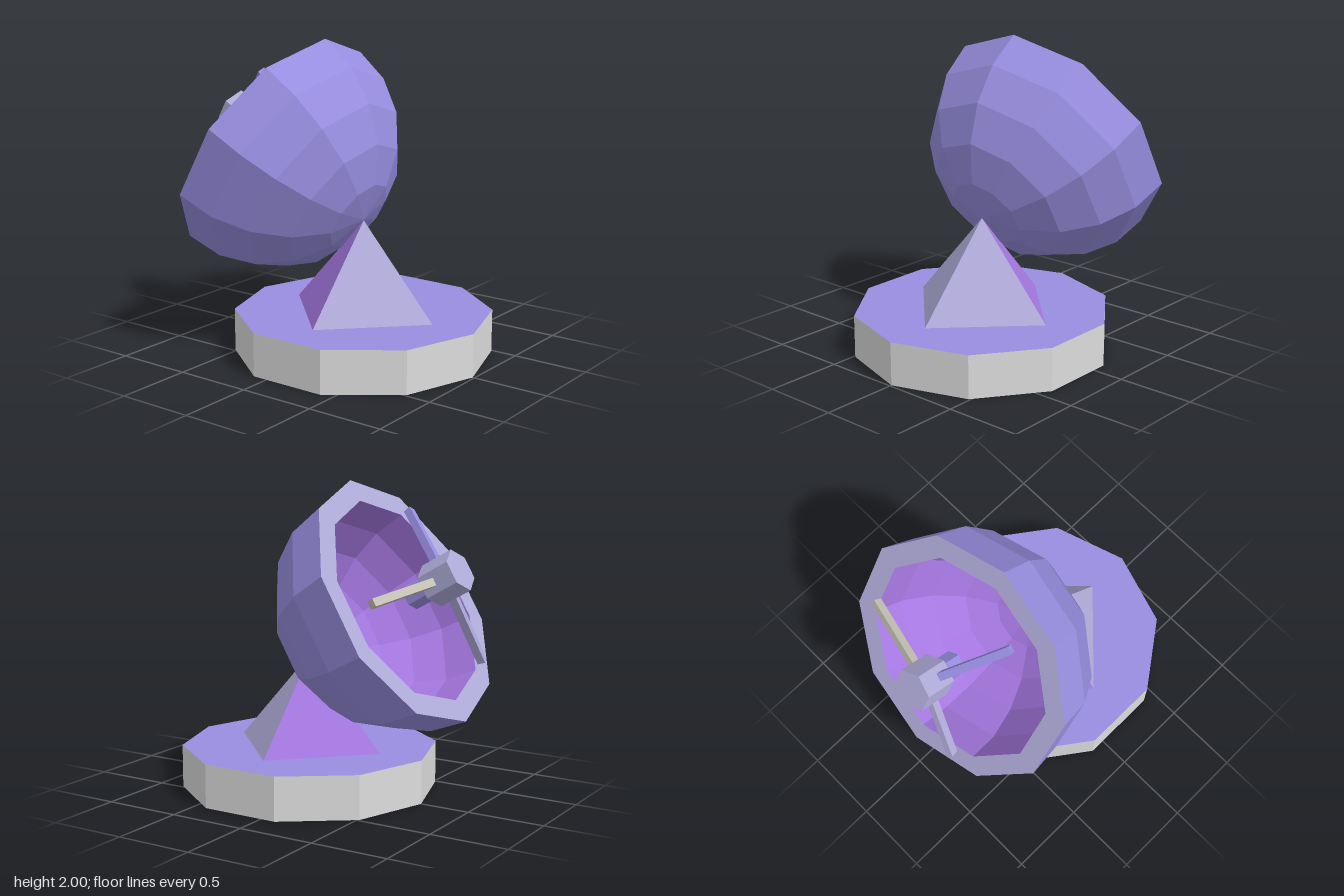
import * as THREE from 'three';

const mat = (name, color) => {
  const m = new THREE.MeshStandardMaterial({ color });
  m.name = name;
  return m;
};

// Faceted normals for the low-poly look
const flat = (geo) => {
  const g = geo.index ? geo.toNonIndexed() : geo;
  g.computeVertexNormals();
  return g;
};

const part = (parent, name, geo, material, x = 0, y = 0, z = 0) => {
  const mesh = new THREE.Mesh(flat(geo), material);
  mesh.name = name;
  mesh.position.set(x, y, z);
  parent.add(mesh);
  return mesh;
};

export function createModel() {
  const blue = mat('periwinkle', 0x988ee0);
  const purple = mat('purple', 0xa678e2);
  const lavender = mat('greyLavender', 0xb0acda);
  const grey = mat('lightGrey', 0xdcdcdc);
  const beige = mat('warmGrey', 0xc6c4b6);

  const model = new THREE.Group();
  model.name = 'satelliteDish';
  const cx = 0.158;

  // Ten-sided base with a coloured top
  const base = new THREE.CylinderGeometry(0.83, 0.83, 0.28, 10).rotateY(Math.PI / 2);
  part(model, 'base', base, [grey, blue, grey], cx, 0.14, 0);

  // Pyramid stand, split into two coloured halves
  const half = (start) => new THREE.ConeGeometry(0.53, 0.59, 2, 1, true, start, Math.PI);
  // two sides per half give the four-sided pyramid
  const halfPyramid = (start) => {
    const g = new THREE.CylinderGeometry(0, 0.53, 0.59, 2, 1, true, start, Math.PI);
    return g;
  };
  part(model, 'standBack', halfPyramid(0), lavender, cx, 0.28 + 0.295, 0);
  part(model, 'standFront', halfPyramid(Math.PI), purple, cx, 0.28 + 0.295, 0);

  // Dish assembly: local +y points out of the bowl
  const dish = new THREE.Group();
  dish.name = 'dish';
  dish.position.set(-0.56, 1.285, 0);
  dish.rotation.z = Math.PI / 3;
  model.add(dish);

  // Quarter arc from the pole of the bowl up to the rim
  const arc = (r) => Array.from({ length: 6 }, (_, i) => {
    const a = (i * Math.PI) / 10;
    return new THREE.Vector2(r * Math.sin(a), -r * Math.cos(a));
  });
  const lathe = (pts) => new THREE.LatheGeometry(pts, 10, Math.PI / 2);
  const R = 0.827, r = 0.683;
  part(dish, 'bowlOutside', lathe(arc(R)), blue);
  part(dish, 'bowlInside', lathe(arc(r).reverse()), purple);
  part(dish, 'rim', lathe([new THREE.Vector2(R, 0), new THREE.Vector2(r, 0)]), lavender);

  // Receiver: hexagonal hub and feed horn
  const hex = (radius, h) => new THREE.CylinderGeometry(radius, radius, h, 6).rotateY(Math.PI / 2);
  part(dish, 'receiverHub', hex(0.137, 0.224), lavender, 0, 0.304, 0);
  part(dish, 'feedHorn', hex(0.08, 0.2), blue, 0, 0.13, 0);

  // Three struts spreading from the hub towards the bowl
  const reach = 0.61, yStart = 0.295, yEnd = 0.118;
  const length = Math.hypot(reach, yStart - yEnd);
  const tilt = Math.atan2(yStart - yEnd, reach);
  [[30, blue, 'upperStrut'], [150, lavender, 'lowerStrut'], [-90, beige, 'sideStrut']]
    .forEach(([deg, material, name]) => {
      const a = THREE.MathUtils.degToRad(deg);
      const strut = part(dish, name, new THREE.BoxGeometry(length, 0.05, 0.05), material,
        (Math.cos(a) * reach) / 2, (yStart + yEnd) / 2, (Math.sin(a) * reach) / 2);
      strut.rotation.set(0, -a, -tilt);
    });

  return model;
}
